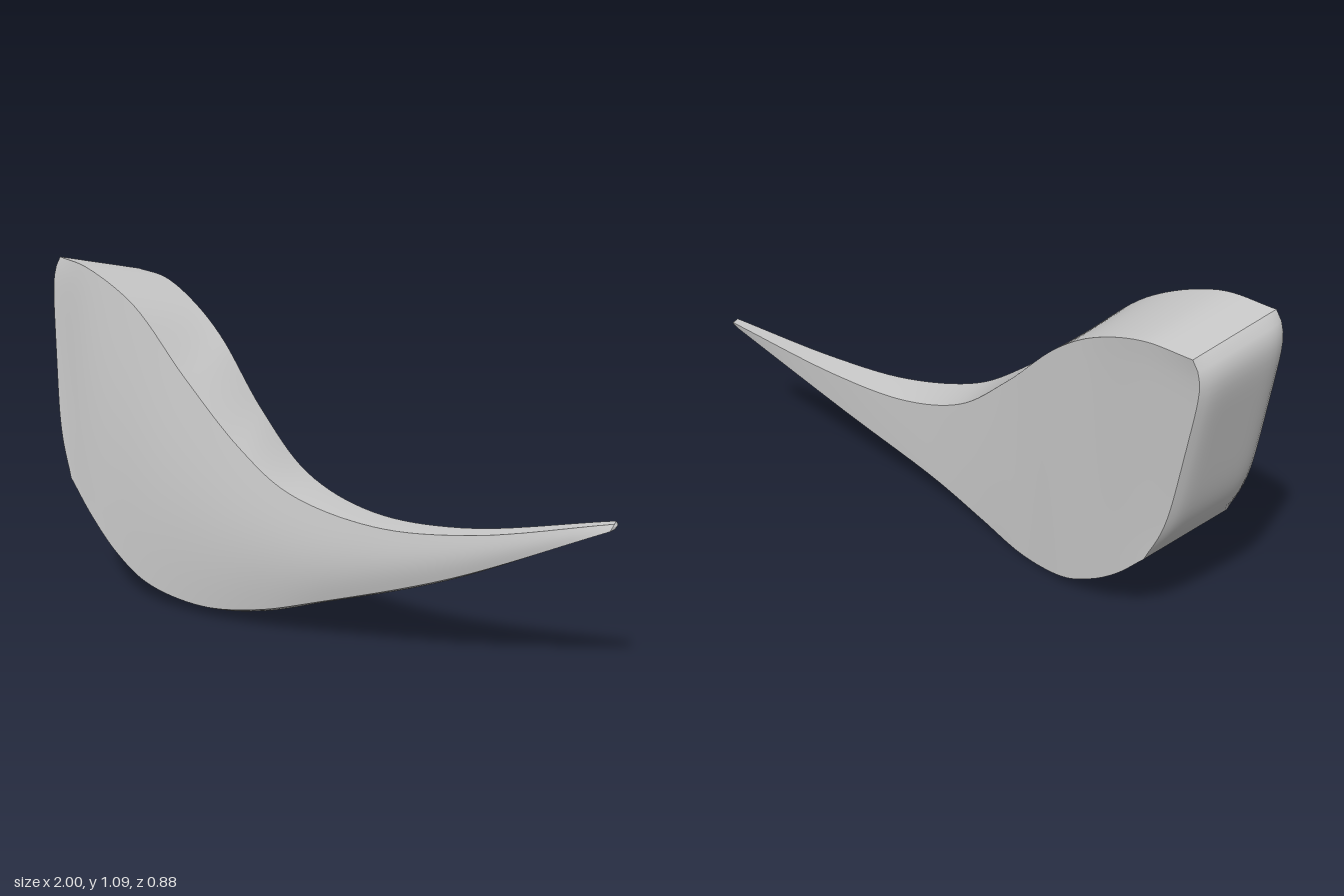
import * as THREE from 'three';

const rail = pts => new THREE.CatmullRomCurve3(pts.map(p => new THREE.Vector3(...p)));

// The four long edges, from the broad end to the tip
const frontTop = rail([[-0.975, 1.09, -0.18], [-0.8, 1.065, -0.05], [-0.58, 0.96, 0.065], [-0.365, 0.755, 0.165],
  [-0.15, 0.56, 0.245], [0.02, 0.45, 0.295], [0.3, 0.387, 0.355], [0.6, 0.4, 0.4], [0.99, 0.475, 0.43]]);
const backTop = rail([[-0.805, 1.035, -0.44], [-0.65, 1.015, -0.335], [-0.48, 0.937, -0.21], [-0.355, 0.84, -0.125],
  [-0.175, 0.64, -0.002], [0.015, 0.47, 0.102], [0.25, 0.39, 0.2], [0.55, 0.39, 0.295], [0.99, 0.475, 0.395]]);
const backBottom = rail([[-0.7, 0.31, -0.325], [-0.61, 0.195, -0.262], [-0.52, 0.11, -0.2], [-0.41, 0.04, -0.125],
  [-0.24, 0.01, -0.01], [-0.07, 0.045, 0.09], [0.13, 0.115, 0.175], [0.51, 0.24, 0.3], [0.98, 0.455, 0.4]]);
const frontBottom = rail([[-0.89, 0.35, -0.045], [-0.78, 0.24, 0.02], [-0.665, 0.14, 0.075], [-0.53, 0.065, 0.13],
  [-0.31, 0.032, 0.2], [-0.1, 0.06, 0.255], [0.12, 0.125, 0.305], [0.54, 0.265, 0.385], [0.98, 0.455, 0.437]]);

// Bow of the broad end's upright edges, fullest towards the top
const endBow = new THREE.Vector3(-0.042, 0, -0.017);
const swell = s => 1 - Math.abs(2 * s - 1) ** 6;
const bowAt = height => swell(height ** 1.3);

// Smooth grid surface; its front side looks along dP/du x dP/dv
function patch(name, point, nu, nv) {
  const pos = [], index = [];
  for (let i = 0; i <= nu; i++)
    for (let j = 0; j <= nv; j++) pos.push(...point(i / nu, j / nv).toArray());
  for (let i = 0; i < nu; i++)
    for (let j = 0; j < nv; j++) {
      const a = i * (nv + 1) + j, b = a + nv + 1;
      index.push(a, b, b + 1, a, b + 1, a + 1);
    }
  const geo = new THREE.BufferGeometry();
  geo.setAttribute('position', new THREE.Float32BufferAttribute(pos, 3));
  geo.setIndex(index);
  geo.computeVertexNormals();
  const mesh = new THREE.Mesh(geo, new THREE.MeshStandardMaterial({ color: 0xcccccc }));
  mesh.name = name;
  return mesh;
}

// Surface stretched between two edges, swelling along a direction
function between(a, b, bulge) {
  return (u, v) => a.getPoint(u).lerp(b.getPoint(u), v)
    .addScaledVector(bulge, Math.sin(Math.PI * u) * Math.sin(Math.PI * v));
}

// Upright side: as above, bowed outward where it meets the broad end
function side(a, b, bulge, height) {
  const base = between(a, b, bulge);
  return (u, v) => base(u, v).addScaledVector(endBow, bowAt(height(v)) * (1 - u) ** 8);
}

// Cap at one end of the edges, bowed along its sides and domed in the middle
function cap(t, left, right, bow, dome) {
  const [lb, lt, rb, rt] = [...left, ...right].map(c => c.getPoint(t));
  return (u, v) => lb.clone().lerp(lt, v).lerp(rb.clone().lerp(rt, v), u)
    .addScaledVector(bow, bowAt(v))
    .addScaledVector(dome, swell(u) * swell(v));
}

export function createModel() {
  const group = new THREE.Group();
  group.name = 'curvedBlade';
  const V = (x, y, z) => new THREE.Vector3(x, y, z);
  const front = [frontBottom, frontTop], back = [backBottom, backTop];
  group.add(
    patch('frontFace', side(frontBottom, frontTop, V(0, 0, 0.02), v => v), 64, 24),
    patch('topFace', between(frontTop, backTop, V(0, 0, 0)), 64, 8),
    patch('backFace', side(backTop, backBottom, V(0, 0, 0), v => 1 - v), 64, 24),
    patch('bottomFace', between(backBottom, frontBottom, V(-0.01, -0.021, 0)), 64, 8),
    patch('broadEnd', cap(0, back, front, endBow, V(-0.014, 0.005, -0.01)), 16, 24),
    patch('tip', cap(1, front, back, V(0, 0, 0), V(0.01, 0, 0)), 6, 4)
  );
  return group;
}
